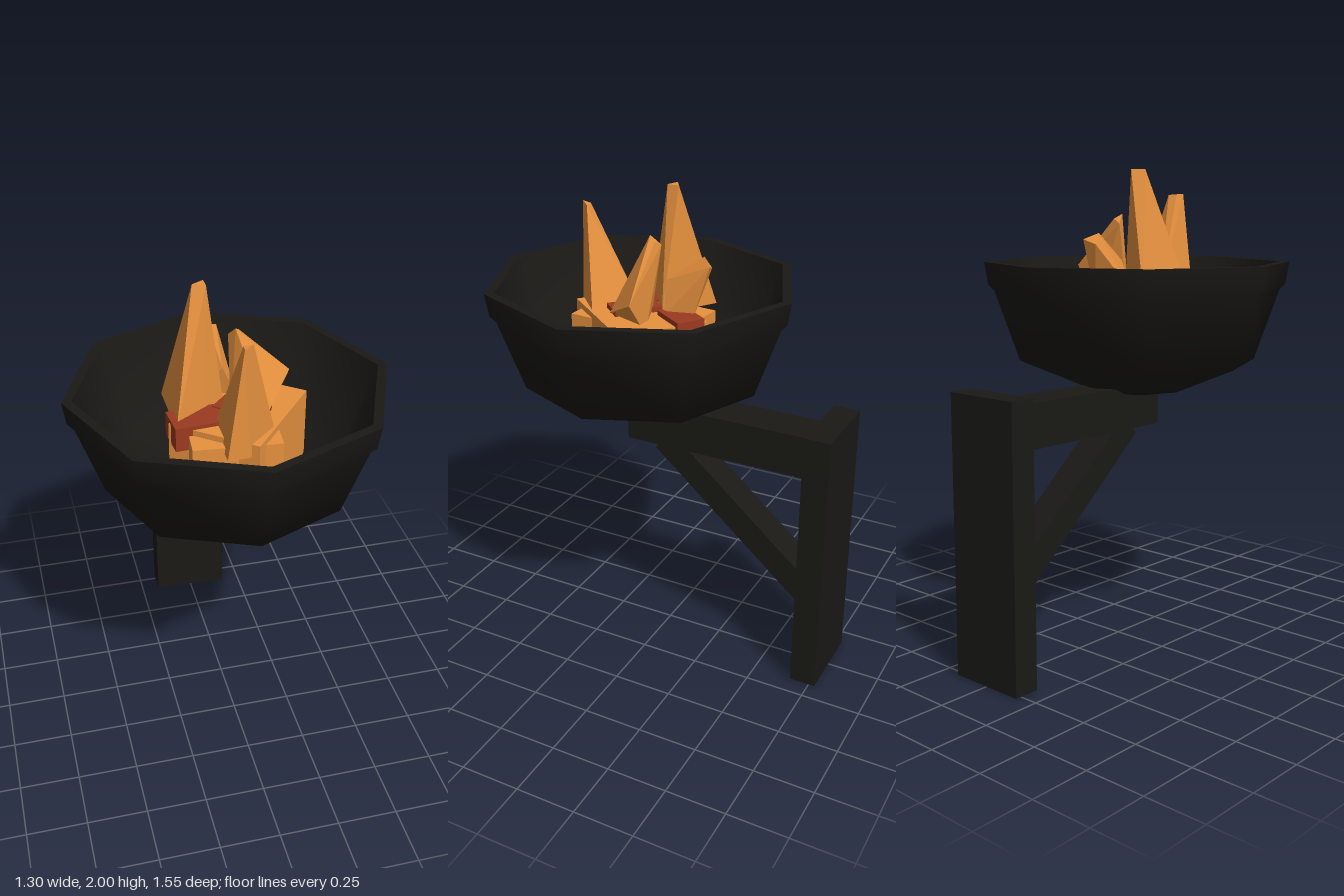
import * as THREE from 'three';
import { ConvexGeometry } from 'three/addons/geometries/ConvexGeometry.js';

const iron = new THREE.MeshStandardMaterial({ color: 0x1a1916, side: THREE.DoubleSide });
const flame = new THREE.MeshStandardMaterial({ color: 0xe8923f, flatShading: true });
const ember = new THREE.MeshStandardMaterial({ color: 0x9c3a20, flatShading: true });

export function createModel() {
  const model = new THREE.Group();
  model.name = 'wallBrazier';

  const add = (name, geometry, material, x = 0, y = 0, z = 0) => {
    const mesh = new THREE.Mesh(geometry, material);
    mesh.name = name;
    mesh.position.set(x, y, z);
    model.add(mesh);
    return mesh;
  };
  const box = (name, w, h, d, x, y, z, material = iron) =>
    add(name, new THREE.BoxGeometry(w, h, d), material, x, y, z);

  // Wall plate, arm and diagonal strut
  box('wallPlate', 0.34, 1.15, 0.11, 0, 0.575, -0.72);
  box('arm', 0.18, 0.18, 0.83, 0, 1.02, -0.26);
  box('strut', 0.14, 0.115, 0.905, 0, 0.653, -0.345).rotation.x = -0.71;

  // Eight-sided bowl: outside, rim, then inside
  const profile = [
    [0, 1.08], [0.215, 1.08], [0.505, 1.2], [0.61, 1.5], [0.635, 1.525], [0.65, 1.62],
    [0.65, 1.62], [0.61, 1.62], [0.61, 1.62], [0.47, 1.24], [0.2, 1.15], [0, 1.15],
  ].map(([r, y]) => new THREE.Vector2(r, y));
  add('bowl', new THREE.LatheGeometry(profile, 8), iron, 0, 0, 0.125);

  // Crossed fuel blocks with glowing embers between them
  const blocks = [
    // width, height, depth, x, y, z, turn, material
    [0.35, 0.32, 0.48, 0, 1.315, 0.125, -0.09, flame],
    [0.385, 0.33, 0.47, 0.045, 1.335, 0.115, -0.68, flame],
    [0.22, 0.1, 0.14, -0.135, 1.465, 0.17, 0.08, ember],
    [0.2, 0.1, 0.12, 0.05, 1.47, 0.14, -0.75, ember],
    [0.12, 0.1, 0.17, 0.065, 1.47, -0.08, -0.6, ember],
  ];
  for (const [w, h, d, x, y, z, turn, material] of blocks) {
    box(material === flame ? 'fuelBlock' : 'ember', w, h, d, x, y, z, material).rotation.y = turn;
  }

  // Faceted flames, each the hull of a small tip and a wide foot
  const flames = {
    tallFlame: [
      [-0.12, 2, 0.03], [-0.07, 2, 0.05], [-0.07, 2, 0],
      [-0.225, 1.48, -0.1], [-0.225, 1.48, 0.2], [-0.09, 1.48, 0.11], [0, 1.48, 0.04],
    ],
    frontFlame: [
      [-0.015, 1.905, 0.41], [0.03, 1.9, 0.365], [-0.01, 1.9, 0.37],
      [-0.075, 1.45, 0.17], [0.15, 1.45, 0.28], [0.01, 1.45, 0.41], [-0.075, 1.45, 0.41],
    ],
    leftFlame: [
      [0.04, 1.82, 0.07], [0.06, 1.8, 0.04], [0.02, 1.78, 0.03],
      [0.27, 1.6, 0.04], [0.13, 1.5, 0.21], [0.16, 1.45, 0.03], [0.02, 1.45, 0.08],
    ],
    backFlame: [
      [-0.02, 1.745, -0.14], [0.025, 1.72, -0.185], [-0.03, 1.7, -0.17],
      [0, 1.63, 0.02], [-0.1, 1.5, -0.02], [0.06, 1.5, 0], [0.03, 1.48, -0.11],
    ],
  };
  for (const [name, points] of Object.entries(flames)) {
    add(name, new ConvexGeometry(points.map((p) => new THREE.Vector3(...p))), flame);
  }
  return model;
}
